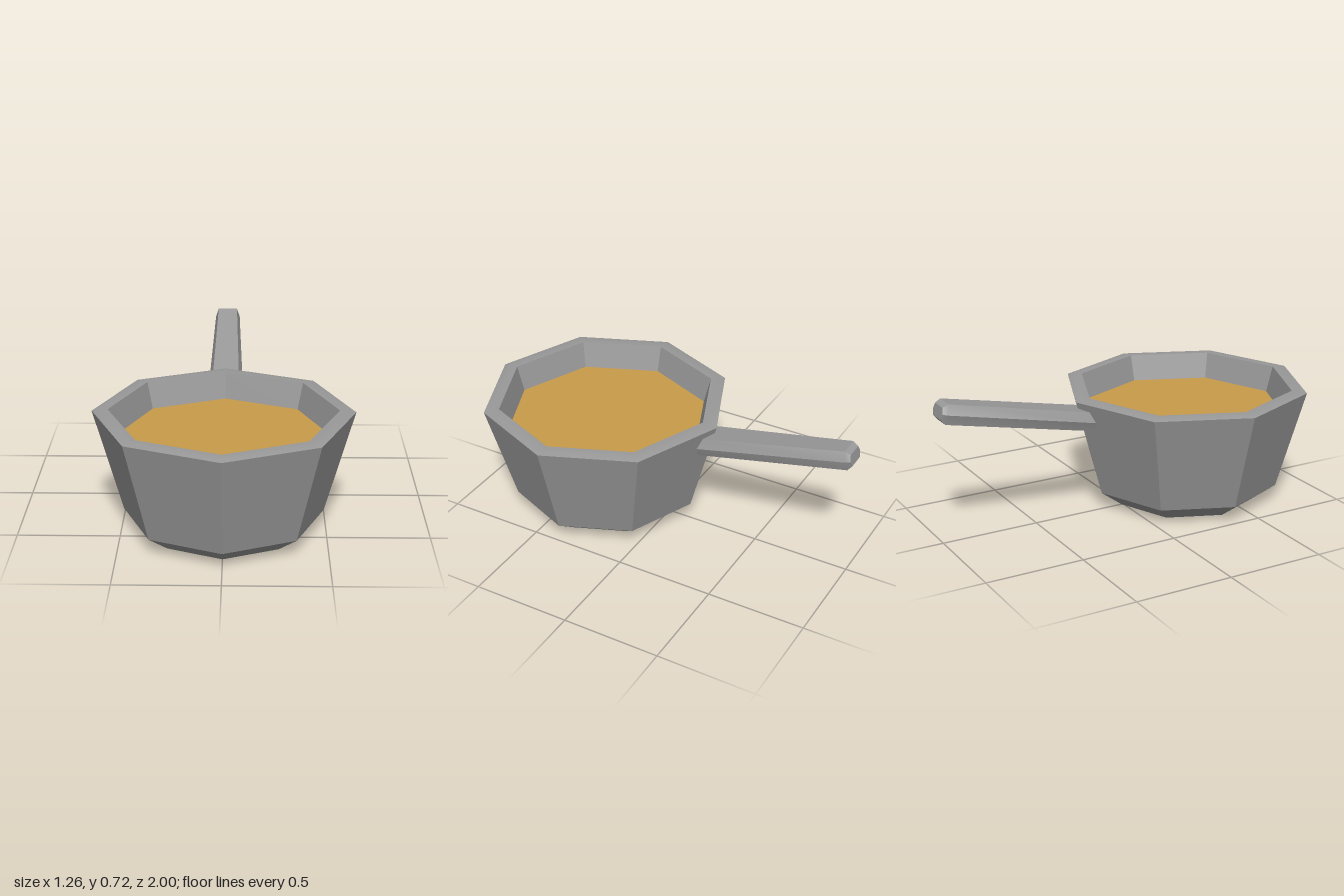
import * as THREE from 'three';
import { toCreasedNormals } from 'three/addons/utils/BufferGeometryUtils.js';

const CREASE = Math.PI / 6;
const POT_Z = 0.365;

// Hexagonal bar along +z; each section is [distance, half width, half height]
function hexBar(sections) {
  const corners = [[0.77, 1], [-0.77, 1], [-1, 0], [-0.77, -1], [0.77, -1], [1, 0]];
  const n = corners.length;
  const pos = [], index = [];
  for (const [s, w, h] of sections) {
    for (const [cx, cy] of corners) pos.push(cx * w, cy * h, s);
  }
  for (let k = 0; k < sections.length - 1; k++) {
    for (let i = 0; i < n; i++) {
      const a = k * n + i, b = k * n + (i + 1) % n;
      index.push(a, b, b + n, a, b + n, a + n);
    }
  }
  // End caps
  const last = (sections.length - 1) * n;
  for (let i = 1; i < n - 1; i++) {
    index.push(0, i + 1, i);
    index.push(last, last + i, last + i + 1);
  }
  const g = new THREE.BufferGeometry();
  g.setAttribute('position', new THREE.Float32BufferAttribute(pos, 3));
  g.setIndex(index);
  return toCreasedNormals(g, CREASE);
}

export function createModel() {
  const metal = new THREE.MeshStandardMaterial({ color: 0x999999 });
  metal.name = 'greyMetal';
  const broth = new THREE.MeshStandardMaterial({ color: 0xc89b4a });
  broth.name = 'goldenSoup';

  const model = new THREE.Group();
  model.name = 'saucepan';
  const add = (name, geometry, material) => {
    const mesh = new THREE.Mesh(geometry, material);
    mesh.name = name;
    model.add(mesh);
    return mesh;
  };

  // Eight-sided bowl: bottom, bevel, outer wall, rim, inner wall
  const profile = [
    [0, 0], [0.375, 0], [0.49, 0.085], [0.632, 0.597],
    [0.595, 0.605], [0.555, 0.605], [0.515, 0.46],
  ].map(([r, y]) => new THREE.Vector2(r, y));
  const bowl = add('bowl', toCreasedNormals(new THREE.LatheGeometry(profile, 8), CREASE), metal);
  bowl.position.z = POT_Z;

  // Flat soup surface
  const soup = add('soup', new THREE.CircleGeometry(0.519, 8, Math.PI / 2), broth);
  soup.rotation.x = -Math.PI / 2;
  soup.position.set(0, 0.472, POT_Z);

  // Tapered handle rising to the back, with a chamfered tip
  const handle = add('handle', hexBar([
    [0, 0.09, 0.047], [0.793, 0.067, 0.05], [0.818, 0.058, 0.03],
  ]), metal);
  handle.position.set(0, 0.503, -0.195);
  handle.rotation.order = 'YXZ';
  handle.rotation.set(-0.209, Math.PI, 0);

  return model;
}
